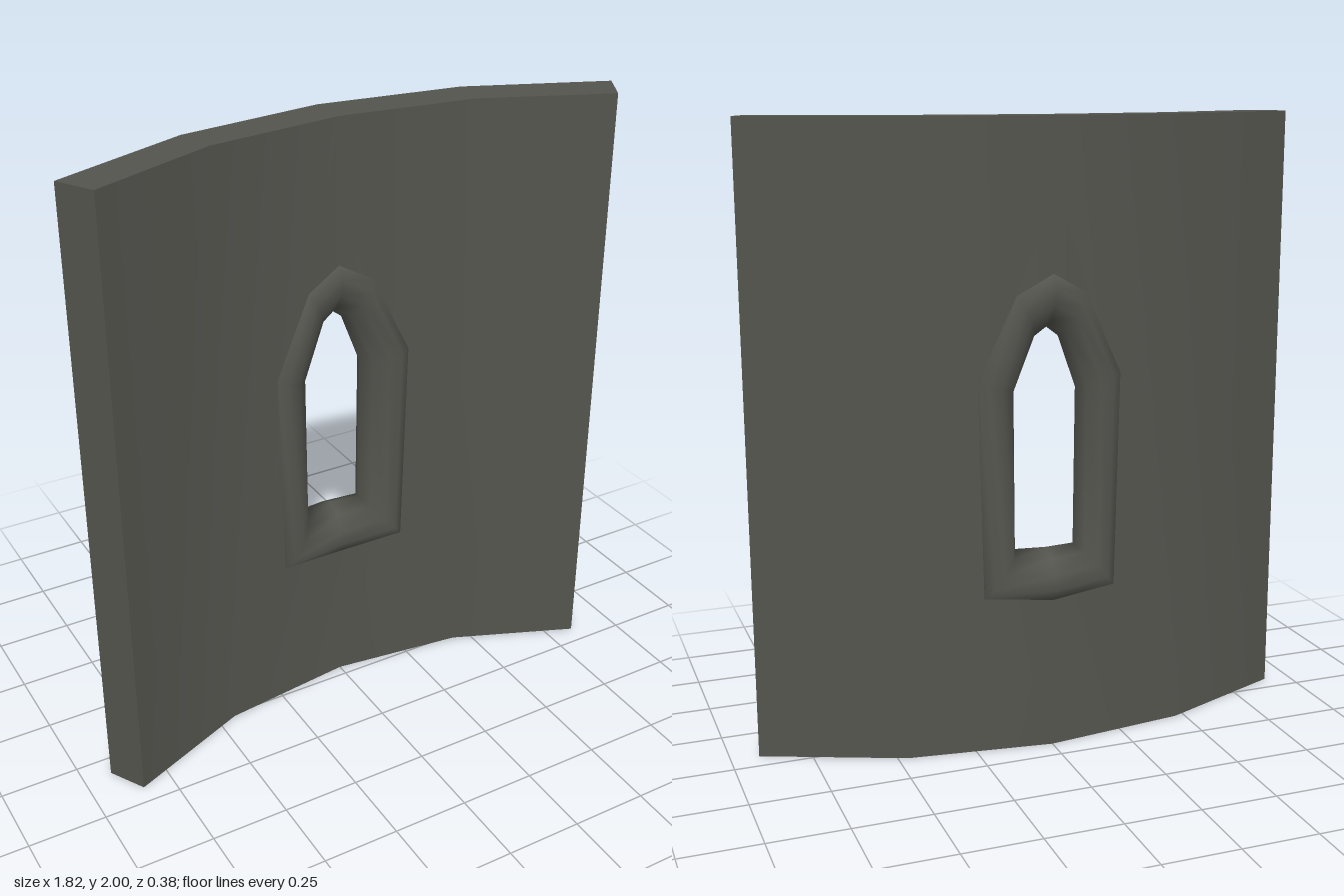
import * as THREE from 'three';
import { mergeGeometries, toCreasedNormals } from 'three/addons/utils/BufferGeometryUtils.js';

// Plan of the curved wall: [x, z] at the centre, first bend and end
const BACK = [[0, -0.17], [0.47, -0.11], [0.91, 0.07]];
const FRONT = [[0, -0.04], [0.44, 0.015], [0.845, 0.185]];
const HEIGHT = 2;

// Right half of the window surround, bottom to top: [x, y]
const OUTER = [[0, 0.49], [0.222, 0.51], [0.238, 1.21], [0.115, 1.47], [0, 1.535]];
const INNER = [[0, 0.65], [0.1, 0.65], [0.103, 1.16], [0.04, 1.33], [0, 1.36]];

const mix = THREE.MathUtils.lerp;

// Point on a plan line; u counts bends from the centre
function onPlan(plan, u) {
  const a = Math.abs(u);
  const i = Math.min(Math.floor(a), 1);
  const f = a - i;
  return [Math.sign(u) * mix(plan[i][0], plan[i + 1][0], f), mix(plan[i][1], plan[i + 1][1], f)];
}

// Extrudes a flat panel in (u, y), bends it to the plan and drops the hidden joint faces
function bentPanel(points) {
  const shape = new THREE.Shape(points.map(([u, y]) => new THREE.Vector2(u, y)));
  const flat = new THREE.ExtrudeGeometry(shape, { depth: 1, bevelEnabled: false });
  const p = flat.attributes.position;
  const out = [];
  for (let t = 0; t < p.count; t += 3) {
    const us = [0, 1, 2].map((k) => p.getX(t + k));
    const a = Math.abs(us[0]);
    if (us[0] === us[1] && us[1] === us[2] && (a === 0 || a === 1)) continue;
    for (let k = 0; k < 3; k++) {
      const w = p.getZ(t + k);
      const b = onPlan(BACK, us[k]);
      const f = onPlan(FRONT, us[k]);
      out.push(mix(b[0], f[0], w), p.getY(t + k), mix(b[1], f[1], w));
    }
  }
  const g = new THREE.BufferGeometry();
  g.setAttribute('position', new THREE.Float32BufferAttribute(out, 3));
  return g;
}

function wallGeometry() {
  // Opening edge, hidden under the surround
  const opening = OUTER.map(([x, y], i) => [
    mix(x, INNER[i][0], 0.5) / 0.455, mix(y, INNER[i][1], 0.5),
  ]);
  const panels = [];
  for (const s of [1, -1]) {
    const half = [[0, 0], [1, 0], [1, HEIGHT], [0, HEIGHT], ...opening.slice().reverse()];
    const wing = [[1, 0], [2, 0], [2, HEIGHT], [1, HEIGHT]];
    for (const pts of [half, wing]) panels.push(bentPanel(pts.map(([u, y]) => [s * u, y])));
  }
  return toCreasedNormals(mergeGeometries(panels), 0.7);
}

// Rounded moulding swept round the opening, through the wall from front to back
function surroundGeometry() {
  const mirror = (pts) => [...pts, ...pts.slice(1, -1).reverse().map(([x, y]) => [-x, y])];
  const outer = mirror(OUTER);
  const inner = mirror(INNER);
  // [share of the way inward, height above the wall face]
  const rise = [[0, -0.015], [0.03, 0.006], [0.25, 0.022], [0.55, 0.018], [0.85, -0.015]];
  const section = [
    ...rise.map(([s, h]) => [s, h, 1]),
    [1, 0, 0],
    ...rise.slice().reverse().map(([s, h]) => [s, h, -1]),
  ];
  const n = outer.length;
  const m = section.length;
  const pos = [];
  const index = [];
  for (let i = 0; i < n; i++) {
    section.forEach(([s, h, side], j) => {
      const x = mix(outer[i][0], inner[i][0], s);
      const y = mix(outer[i][1], inner[i][1], s);
      const back = onPlan(BACK, x / 0.47)[1];
      const front = onPlan(FRONT, x / 0.44)[1];
      pos.push(x, y, mix(back, front, (side + 1) / 2) + side * h);
      if (j === m - 1) return;
      const a = i * m + j;
      const b = ((i + 1) % n) * m + j;
      index.push(a, b, b + 1, a, b + 1, a + 1);
    });
  }
  const g = new THREE.BufferGeometry();
  g.setAttribute('position', new THREE.Float32BufferAttribute(pos, 3));
  g.setIndex(index);
  g.computeVertexNormals();
  return g;
}

export function createModel() {
  const stone = new THREE.MeshStandardMaterial({ color: 0x55554f });
  stone.name = 'dark stone';
  const group = new THREE.Group();
  group.name = 'curvedWallWithWindow';
  const add = (name, geometry) => {
    const mesh = new THREE.Mesh(geometry, stone);
    mesh.name = name;
    group.add(mesh);
  };
  add('wall', wallGeometry());
  add('windowSurround', surroundGeometry());
  return group;
}
